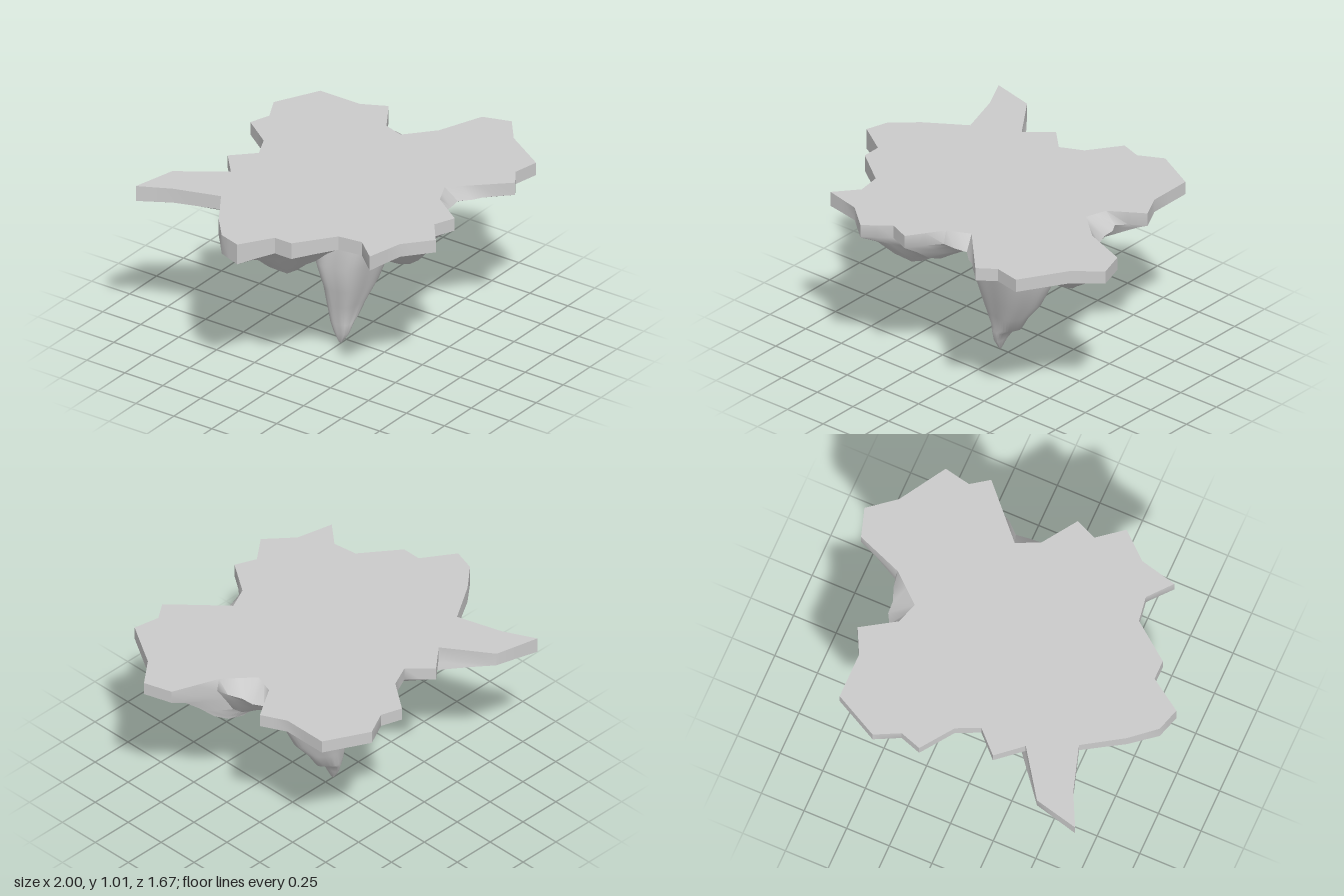
import * as THREE from 'three';
import { toCreasedNormals } from 'three/addons/utils/BufferGeometryUtils.js';

const TOP = 1.01;

// Ragged coastline, as x, z corners
const coast = [
  [-0.77, -0.84], [-0.52, -0.78], [-0.34, -0.52], [-0.2, -0.64], [-0.08, -0.52], [0.05, -0.58],
  [0.18, -0.76], [0.3, -0.72], [0.44, -0.79], [0.69, -0.66], [0.69, -0.4], [0.76, -0.26],
  [0.57, -0.14], [0.53, -0.02], [0.69, 0.12], [0.95, 0.22], [1, 0.38], [0.85, 0.5],
  [0.69, 0.76], [0.54, 0.73], [0.44, 0.8], [0.3, 0.65], [0.18, 0.52], [0.05, 0.58],
  [-0.08, 0.77], [-0.2, 0.72], [-0.34, 0.83], [-0.49, 0.7], [-0.7, 0.65], [-0.59, 0.52],
  [-0.61, 0.38], [-0.82, 0.22], [-0.82, 0.11], [-1, -0.01], [-0.96, -0.14], [-0.82, -0.26],
  [-0.6, -0.4], [-0.68, -0.66],
];

// Hanging lumps under the four lobes: x, z, depth, spread
const lumps = [
  [0.59, 0.16, 0.16, 0.16], [-0.2, 0.56, 0.15, 0.16],
  [0.36, -0.54, 0.14, 0.16], [-0.5, -0.04, 0.2, 0.17],
];

// Places where the rock juts out below a notch: x, z, reach, spread
const ledges = [[0.55, -0.02, 0.13, 0.09], [0.2, 0.55, 0.08, 0.09]];

// Spike sections: y, x min, x max, z min, z max
const spike = [
  [0.74, -0.2, 0.37, -0.24, 0.23],
  [0.63, -0.19, 0.34, -0.2, 0.22],
  [0.52, -0.2, 0.3, -0.17, 0.19],
  [0.36, -0.155, 0.22, -0.12, 0.14],
  [0.25, -0.125, 0.13, -0.1, 0.1],
  [0.16, -0.1, 0.075, -0.085, 0.07],
  [0.13, -0.093, 0.02, -0.075, 0.065],
  [0.07, -0.08, -0.02, -0.05, 0.05],
  [0.015, -0.064, -0.045, -0.015, 0.015],
  [0, -0.055, -0.055, 0, 0],
];

const bell = (x, z, [cx, cz, amount, spread]) =>
  amount * Math.exp(-((x - cx) ** 2 + (z - cz) ** 2) / (2 * spread ** 2));
const total = (list, x, z) => list.reduce((sum, item) => sum + bell(x, z, item), 0);

// Point on a spike section, with shallow vertical ribs
function spikePoint([y, x0, x1, z0, z1], angle) {
  const rib = 0.96 + 0.05 * Math.cos(5 * angle + 0.6);
  return [
    (x0 + x1) / 2 + ((x1 - x0) / 2) * rib * Math.cos(angle), y,
    (z0 + z1) / 2 + ((z1 - z0) / 2) * rib * Math.sin(angle),
  ];
}

// One column of points from the top edge, under the lobe, down to the spike tip
function column(x, z) {
  const angle = Math.atan2(z, x);
  const push = 1 + total(ledges, x, z) / Math.hypot(x, z);
  const rim = [x * push, 0.935 - 0.045 * Math.max(0, -x) ** 4, z * push];
  const core = spikePoint(spike[0], angle);
  const points = [[x, TOP, z], rim];
  for (const t of [0.86, 0.72, 0.58, 0.44, 0.3, 0.15]) {
    const px = core[0] + (rim[0] - core[0]) * t;
    const pz = core[2] + (rim[2] - core[2]) * t;
    const base = core[1] + (rim[1] - core[1]) * Math.pow(t, 0.7);
    const lump = total(lumps, px, pz) * Math.min(1, (1 - t) * 3, t * 4);
    points.push([px, base - lump, pz]);
  }
  for (const section of spike) points.push(spikePoint(section, angle));
  return points;
}

function undersideGeometry() {
  const columns = [];
  coast.forEach(([x, z], i) => {
    const [nx, nz] = coast[(i + 1) % coast.length];
    for (const f of [0, 0.5]) columns.push(column(x + (nx - x) * f, z + (nz - z) * f));
  });
  const rows = columns[0].length;
  const index = [];
  for (let j = 0; j < columns.length; j++) {
    const k = (j + 1) % columns.length;
    for (let i = 0; i < rows - 1; i++) {
      const a = j * rows + i, b = k * rows + i;
      index.push(a, b, a + 1);
      if (i < rows - 2) index.push(b, b + 1, a + 1);
    }
  }
  const geometry = new THREE.BufferGeometry();
  geometry.setAttribute('position', new THREE.Float32BufferAttribute(columns.flat(2), 3));
  geometry.setIndex(index);
  return toCreasedNormals(geometry, 0.75);
}

export function createModel() {
  const group = new THREE.Group();
  group.name = 'floatingIsland';
  const material = new THREE.MeshStandardMaterial({ color: 0xcccccc });

  // Flat ground
  const shape = new THREE.Shape(coast.map(([x, z]) => new THREE.Vector2(x, -z)));
  const ground = new THREE.Mesh(new THREE.ShapeGeometry(shape).rotateX(-Math.PI / 2), material);
  ground.position.y = TOP;
  ground.name = 'flatGround';

  // Rim, lobes and central spike
  const rock = new THREE.Mesh(undersideGeometry(), material);
  rock.name = 'rockUnderside';

  group.add(ground, rock);
  return group;
}
